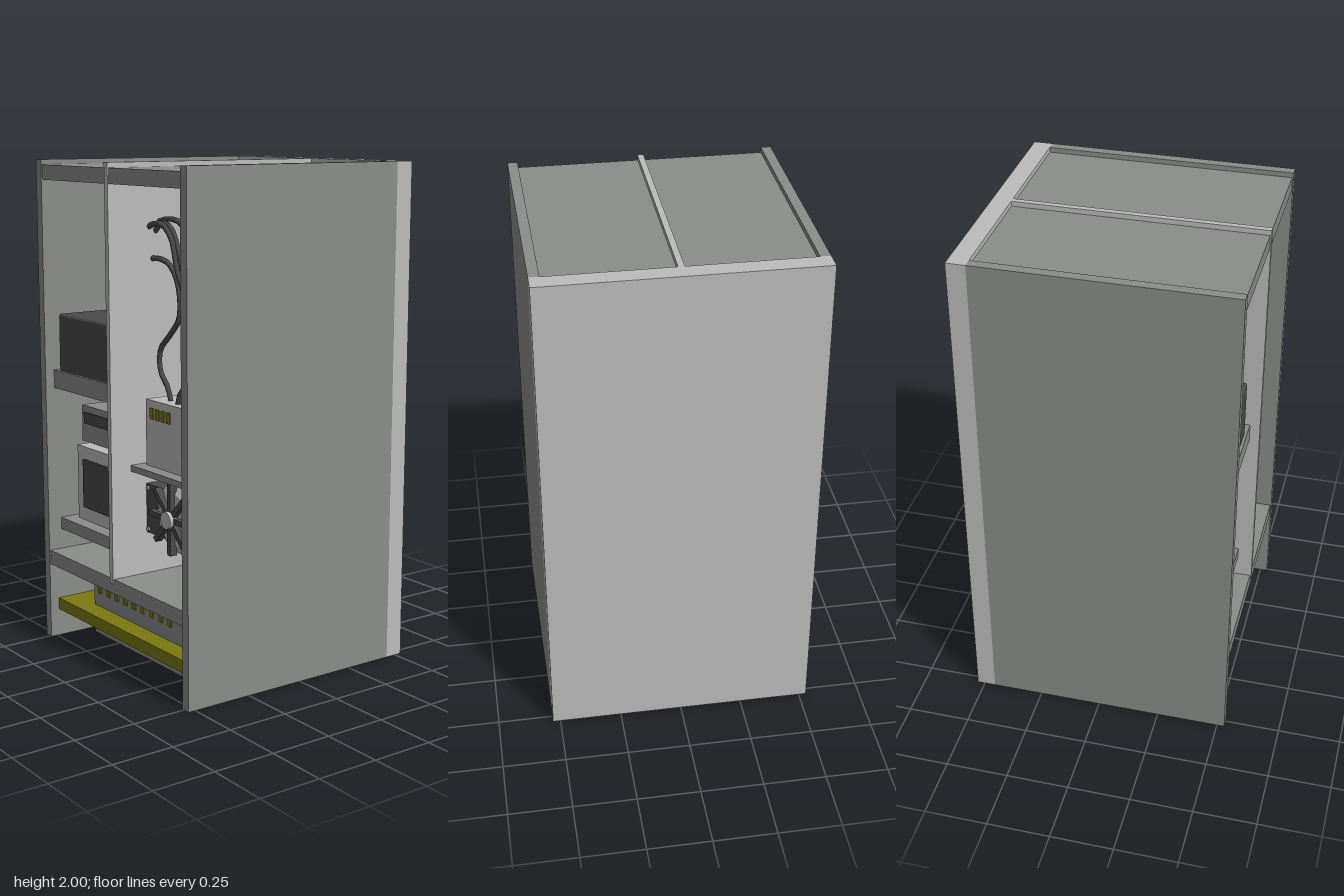
import * as THREE from 'three';
import { RoundedBoxGeometry } from 'three/addons/geometries/RoundedBoxGeometry.js';

const mat = (name, color, extra = {}) => {
  const m = new THREE.MeshStandardMaterial({ color, ...extra });
  m.name = name;
  return m;
};

export function createModel() {
  const grey = mat('cabinetGrey', 0x8a8d8a);
  const light = mat('lightGrey', 0xbcbcbc);
  const dark = mat('darkGrey', 0x4a4a4a);
  const black = mat('black', 0x0d0d0d);
  const yellow = mat('mustardYellow', 0x7c7a0e);
  const green = mat('green', 0x1f8540);

  const root = new THREE.Group();
  root.name = 'equipmentCabinet';

  const group = (name) => {
    const g = new THREE.Group();
    g.name = name;
    root.add(g);
    return g;
  };
  const add = (parent, name, geometry, material) => {
    const mesh = new THREE.Mesh(geometry, material);
    mesh.name = name;
    parent.add(mesh);
    return mesh;
  };
  // Box given by its extents on each axis
  const box = (parent, name, material, [x0, x1], [y0, y1], [z0, z1], radius = 0) => {
    const size = [x1 - x0, y1 - y0, z1 - z0];
    const geo = radius ? new RoundedBoxGeometry(...size, 3, radius) : new THREE.BoxGeometry(...size);
    const mesh = add(parent, name, geo, material);
    mesh.position.set((x0 + x1) / 2, (y0 + y1) / 2, (z0 + z1) / 2);
    return mesh;
  };
  // Thin painted plate on a front face at depth z
  const plate = (parent, name, material, xs, ys, z) => box(parent, name, material, xs, ys, [z, z + 0.005]);

  // Cabinet shell
  const shell = group('shell');
  for (const s of [-1, 1]) {
    box(shell, s > 0 ? 'leftPanel' : 'rightPanel', grey, s > 0 ? [0.49, 0.53] : [-0.53, -0.49], [0, 2], [-0.455, 0.53]);
  }
  box(shell, 'backPanel', light, [-0.53, 0.53], [0, 2], [-0.53, -0.455]);
  box(shell, 'topPanel', grey, [-0.49, 0.49], [1.92, 1.98], [-0.455, 0.525]);
  box(shell, 'innerBackPanel', black, [-0.49, 0.49], [0.16, 1.92], [-0.01, 0.03]);
  box(shell, 'divider', light, [-0.012, 0.012], [0.36, 2], [-0.455, 0.53]);

  // Shelves
  const shelves = group('shelves');
  box(shelves, 'bottomShelf', grey, [-0.49, 0.49], [0.32, 0.38], [0.03, 0.525]);
  box(shelves, 'upperShelf', grey, [-0.49, -0.012], [1.07, 1.145], [0.03, 0.49]);
  box(shelves, 'lowerShelf', grey, [-0.49, -0.012], [0.465, 0.515], [0.03, 0.47]);
  box(shelves, 'batteryShelf', grey, [0.012, 0.49], [0.805, 0.83], [0.03, 0.44]);
  box(shelves, 'yellowShelf', yellow, [-0.49, 0.485], [0.115, 0.165], [0.04, 0.49]);

  // Terminal block set through the yellow shelf
  const terminal = group('terminalBlock');
  box(terminal, 'terminalBody', grey, [-0.33, 0.32], [0.045, 0.32], [0.12, 0.41]);
  for (let i = 0; i < 9; i++) {
    const x = -0.281 + i * 0.0645;
    plate(terminal, 'terminalContact', yellow, [x - 0.012, x + 0.012], [0.225, 0.265], 0.41);
  }

  // Wall unit with a window and a knob
  const unit = group('wallUnit');
  box(unit, 'unitBody', light, [-0.225, -0.058], [1.41, 1.71], [0.03, 0.38], 0.01);
  plate(unit, 'unitFrame', dark, [-0.205, -0.12], [1.545, 1.69], 0.379);
  plate(unit, 'unitWindow', light, [-0.201, -0.124], [1.549, 1.686], 0.381);
  const knob = add(unit, 'unitKnob', new THREE.CylinderGeometry(0.018, 0.018, 0.025, 16), dark);
  knob.rotation.x = Math.PI / 2;
  knob.position.set(-0.19, 1.445, 0.388);

  // Dark case on the upper shelf
  box(root, 'darkCase', dark, [-0.465, -0.068], [1.14, 1.38], [0.14, 0.48], 0.012);

  // Monitor and the small meter above it
  const monitor = group('monitor');
  box(monitor, 'monitorBody', light, [-0.447, -0.015], [0.515, 0.828], [0.06, 0.41]);
  plate(monitor, 'monitorScreen', dark, [-0.4, -0.065], [0.57, 0.775], 0.41);
  const meter = group('meter');
  box(meter, 'meterBody', grey, [-0.388, -0.143], [0.857, 1.007], [0.18, 0.42]);
  plate(meter, 'meterDisplay', dark, [-0.368, -0.16], [0.933, 0.98], 0.42);

  // Battery box with yellow contacts
  const battery = group('batteryBox');
  box(battery, 'batteryBody', light, [0.038, 0.43], [0.83, 1.092], [0.17, 0.385]);
  for (let i = 0; i < 4; i++) {
    const x = 0.083 + i * 0.038;
    plate(battery, 'batteryContact', yellow, [x - 0.011, x + 0.011], [1.018, 1.062], 0.385);
  }

  // Green tanks
  const tankProfile = [[0, 0.83], [0.076, 0.83], [0.076, 1.45], [0.072, 1.48], [0.054, 1.515], [0.046, 1.52], [0, 1.52]];
  for (const x of [0.143, 0.327]) {
    const tank = add(root, 'tank', new THREE.LatheGeometry(tankProfile.map((p) => new THREE.Vector2(...p)), 24), green);
    tank.position.set(x, 0, 0.13);
  }

  // Fan on its mounting plate
  const fan = group('fan');
  box(fan, 'fanPlate', dark, [0.014, 0.488], [0.55, 0.748], [0.31, 0.37]);
  for (const x of [0.028, 0.476]) for (const y of [0.565, 0.732]) {
    const screw = add(fan, 'fanScrew', new THREE.CylinderGeometry(0.008, 0.008, 0.01, 10), light);
    screw.rotation.x = Math.PI / 2;
    screw.position.set(x, y, 0.372);
  }
  const rotor = new THREE.Group();
  rotor.name = 'rotor';
  rotor.position.set(0.235, 0.653, 0.37);
  fan.add(rotor);
  const disc = add(rotor, 'fanDisc', new THREE.CylinderGeometry(0.1, 0.14, 0.025, 32), light);
  disc.rotation.x = Math.PI / 2;
  disc.position.z = 0.012;
  const hub = add(rotor, 'fanHub', new THREE.CylinderGeometry(0.034, 0.034, 0.05, 20), light);
  hub.rotation.x = Math.PI / 2;
  hub.position.z = 0.035;
  for (let i = 0; i < 8; i++) {
    const arm = new THREE.Group();
    arm.name = 'fanArm';
    arm.rotation.z = i * Math.PI / 4;
    box(arm, 'fanBar', dark, [0.03, 0.142], [-0.011, 0.011], [0.015, 0.045]);
    rotor.add(arm);
  }

  // Cables from the wall unit to the battery box
  const cables = [
    [[-0.06, 1.68], [-0.02, 1.75], [0.04, 1.78], [0.14, 1.78], [0.21, 1.73], [0.24, 1.61], [0.36, 1.5], [0.43, 1.4], [0.44, 1.28], [0.4, 1.18], [0.29, 1.14], [0.26, 1.09]],
    [[-0.06, 1.65], [0, 1.73], [0.06, 1.77], [0.12, 1.75], [0.17, 1.66], [0.22, 1.52], [0.28, 1.43], [0.3, 1.3], [0.27, 1.2], [0.19, 1.14], [0.17, 1.09]],
    [[-0.06, 1.59], [0, 1.63], [0.12, 1.62], [0.18, 1.55], [0.19, 1.42], [0.13, 1.35], [0.06, 1.28], [0.06, 1.2], [0.11, 1.14], [0.13, 1.09]],
    [[-0.06, 1.67], [0, 1.75], [0.09, 1.77], [0.16, 1.72], [0.2, 1.6], [0.27, 1.49], [0.345, 1.43], [0.34, 1.28], [0.3, 1.19], [0.22, 1.14], [0.2, 1.09]],
  ];
  cables.forEach((pts, i) => {
    const path = new THREE.CurvePath();
    const v = pts.map(([x, y]) => new THREE.Vector3(x, y, 0.3 + i * 0.015));
    const curve = new THREE.CatmullRomCurve3(v, false, 'centripetal');
    add(root, 'cable', new THREE.TubeGeometry(curve, 28, 0.011, 6), dark);
  });

  return root;
}
